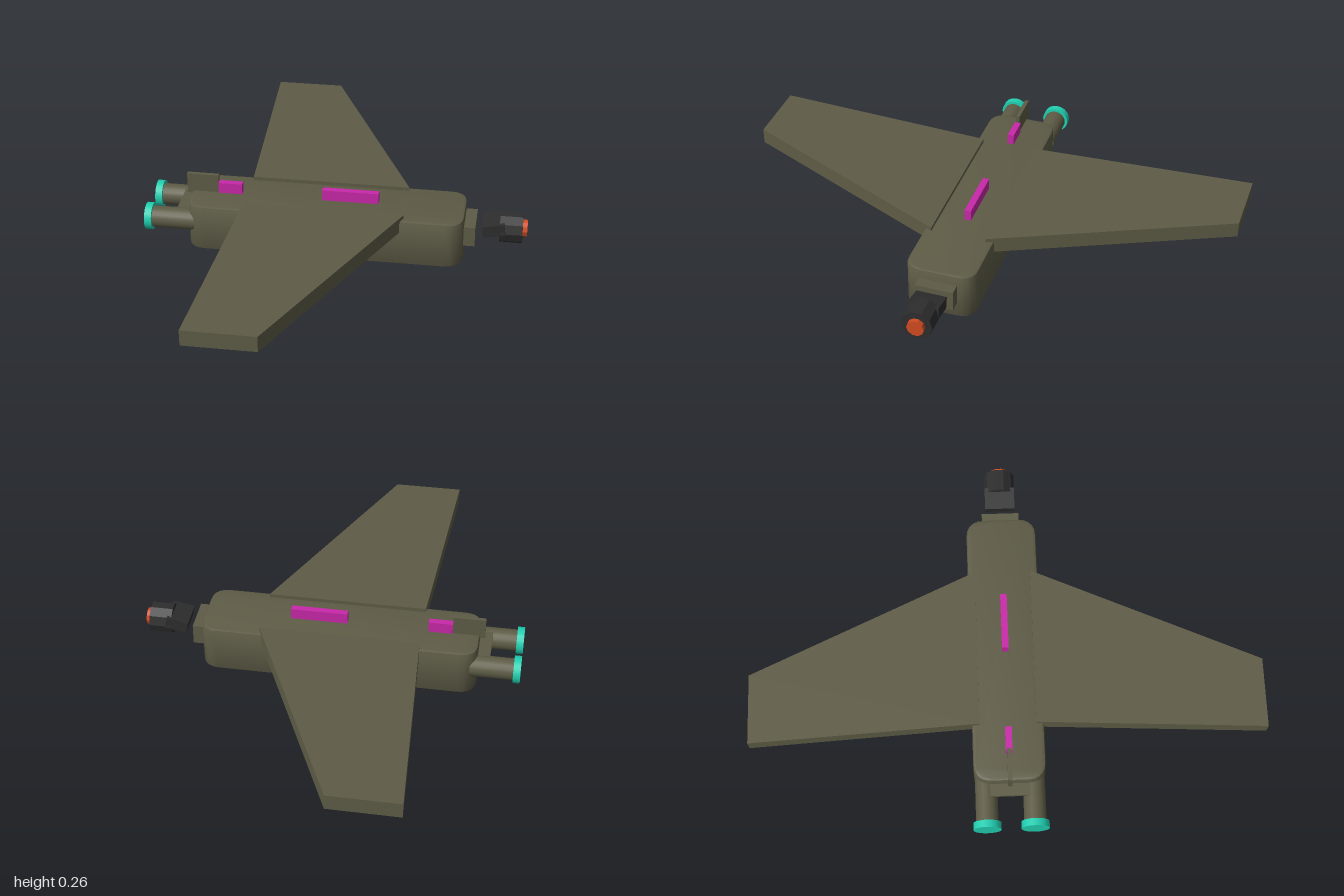
import * as THREE from 'three';
import { toCreasedNormals } from 'three/addons/utils/BufferGeometryUtils.js';

const mat = (name, color, flatShading = false) => {
  const m = new THREE.MeshStandardMaterial({ color, flatShading });
  m.name = name;
  return m;
};

export function createModel() {
  const olive = mat('olive', 0x5e5c46);
  const charcoal = mat('charcoal', 0x2d2d2d);
  const orange = mat('orange', 0xd04a20);
  const teal = mat('teal', 0x20d0b2);
  const magenta = mat('magenta', 0xc828a8);

  const model = new THREE.Group();
  model.name = 'drone';

  const add = (name, geometry, material, x = 0, y = 0, z = 0) => {
    const mesh = new THREE.Mesh(geometry, material);
    mesh.name = name;
    mesh.position.set(x, y, z);
    model.add(mesh);
    return mesh;
  };
  // Box given by its limits in x and y and its full depth in z
  const box = (name, material, x0, x1, y0, y1, depth) =>
    add(name, new THREE.BoxGeometry(x1 - x0, y1 - y0, depth), material, (x0 + x1) / 2, (y0 + y1) / 2, 0);
  // Cylinder lying along x
  const rod = (name, material, x0, x1, y, z, r, sides) => {
    const g = new THREE.CylinderGeometry(r, r, x1 - x0, sides).rotateZ(-Math.PI / 2);
    return add(name, sides <= 10 ? toCreasedNormals(g, 0.3) : g, material, (x0 + x1) / 2, y, z);
  };
  // Plan outline (x, z) extruded upwards from y0
  const slab = (shape, y0, options) => {
    const g = new THREE.ExtrudeGeometry(shape, options);
    return g.rotateX(-Math.PI / 2).translate(0, y0, 0);
  };

  // Fuselage: rounded corners in plan, slight bevel above and below
  const b = 0.01, x0 = -0.582 + b, x1 = 0.506 - b, w = 0.139 - b, r = 0.06;
  const plan = new THREE.Shape();
  plan.moveTo(x0 + r, -w);
  plan.lineTo(x1 - r, -w);
  plan.quadraticCurveTo(x1, -w, x1, -w + r);
  plan.lineTo(x1, w - r);
  plan.quadraticCurveTo(x1, w, x1 - r, w);
  plan.lineTo(x0 + r, w);
  plan.quadraticCurveTo(x0, w, x0, w - r);
  plan.lineTo(x0, -w + r);
  plan.quadraticCurveTo(x0, -w, x0 + r, -w);
  const fuselage = slab(plan, b, {
    depth: 0.19 - 2 * b, bevelEnabled: true, bevelSize: b, bevelThickness: b, bevelSegments: 2, curveSegments: 5,
  });
  add('fuselage', toCreasedNormals(fuselage, 0.6), olive);

  // Tapered wings
  for (const s of [1, -1]) {
    const outline = new THREE.Shape([
      [-0.357, 0.11], [0.273, 0.11], [-0.13, 1], [-0.405, 1],
    ].map(([x, z]) => new THREE.Vector2(x, -s * z)));
    add(s > 0 ? 'leftWing' : 'rightWing', slab(outline, 0.142, { depth: 0.063, bevelEnabled: false }), olive);
  }

  // Tail fin and spine strips
  box('tailFin', olive, -0.602, -0.475, 0.18, 0.265, 0.016);
  box('rearStrip', magenta, -0.475, -0.38, 0.19, 0.234, 0.026);
  box('middleStrip', magenta, -0.06, 0.164, 0.19, 0.234, 0.026);

  // Twin engines with glowing caps, joined by a bracket
  for (const z of [0.092, -0.092]) {
    rod('engine', olive, -0.726, -0.555, 0.108, z, 0.043, 20);
    rod('engineCap', teal, -0.752, -0.724, 0.109, z, 0.054, 20);
  }
  box('engineBracket', olive, -0.63, -0.555, 0.135, 0.148, 0.2);

  // Nose mount and camera
  box('noseMount', olive, 0.5, 0.55, 0.068, 0.15, 0.15);
  box('cameraArm', charcoal, 0.577, 0.665, 0.108, 0.156, 0.12).rotation.z = 0.2;
  rod('camera', charcoal, 0.643, 0.732, 0.123, 0, 0.061, 10);
  rod('lens', orange, 0.728, 0.75, 0.123, 0, 0.034, 10);

  return model;
}
